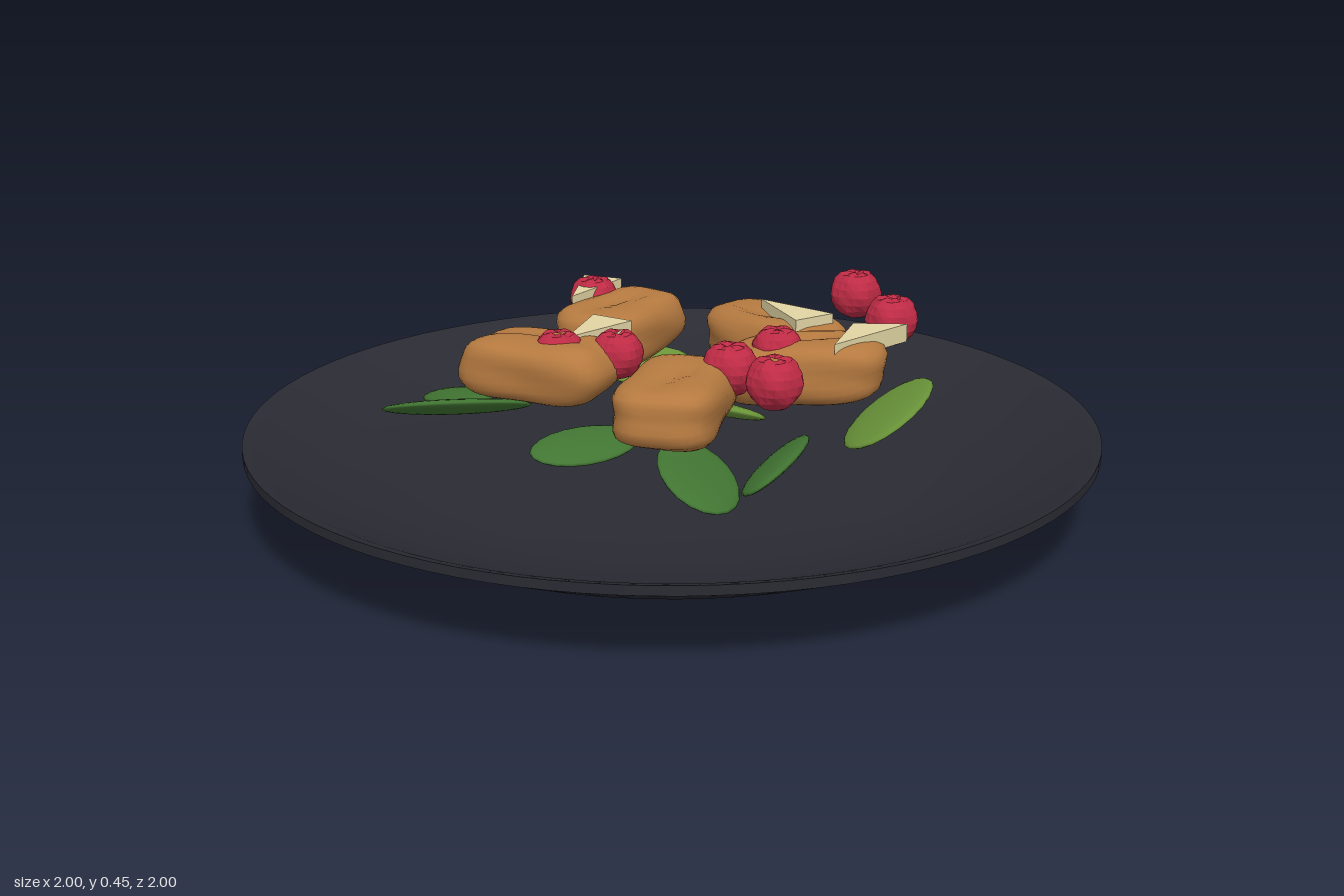
import * as THREE from 'three';
import { mergeVertices } from 'three/addons/utils/BufferGeometryUtils.js';

const mat = (name, color, extra = {}) => {
  const m = new THREE.MeshStandardMaterial({ color, ...extra });
  m.name = name;
  return m;
};

// Apply a rule to every vertex, then weld and smooth
function reshape(geo, rule) {
  geo.deleteAttribute('uv');
  geo.deleteAttribute('normal');
  const p = geo.attributes.position, v = new THREE.Vector3();
  for (let i = 0; i < p.count; i++) {
    rule(v.fromBufferAttribute(p, i));
    p.setXYZ(i, v.x, v.y, v.z);
  }
  const out = mergeVertices(geo, 1e-4);
  out.computeVertexNormals();
  return out;
}

// Rounded, lumpy block with a creased top
function nuggetGeometry(halfLength, halfWidth, seed) {
  return reshape(new THREE.BoxGeometry(2, 2, 2, 14, 8, 10), v => {
    const k = 3.5;
    v.divideScalar((Math.abs(v.x) ** k + Math.abs(v.y) ** k + Math.abs(v.z) ** k) ** (1 / k));
    const lump = 1 + 0.035 * Math.sin(4 * v.x + seed) * Math.cos(3 * v.z + seed * 2)
      + 0.03 * Math.sin(5 * v.y + 3 * v.x + seed);
    const crease = v.y > 0 ? 0.18 * Math.exp(-30 * (v.z - 0.25 * Math.sin(2 * v.x + seed)) ** 2 - 3 * v.x ** 2) : 0;
    v.set(v.x * halfLength * lump, (v.y - crease) * 0.074 * lump, v.z * halfWidth * lump);
  });
}

// Flattened oval leaf, long axis along z
function leafGeometry(halfLength, halfWidth) {
  return reshape(new THREE.SphereGeometry(1, 20, 12), v => {
    v.set(v.x * halfWidth, v.y * 0.016, v.z * halfLength);
  });
}

// Knobbly berry with a small star-shaped dimple on top
function berryGeometry() {
  return reshape(new THREE.SphereGeometry(1, 20, 10), v => {
    const a = Math.atan2(v.z, v.x), ring = Math.hypot(v.x, v.z), y = v.y;
    v.multiplyScalar(1 + 0.05 * ring * Math.cos(5 * a) * Math.cos(4 * y));
    if (y > 0.7) v.y -= 0.25 * Math.max(0, 1 - ring / 0.5) * (1 + 0.3 * Math.cos(5 * a));
  });
}

export function createModel() {
  const model = new THREE.Group();
  const slate = mat('slate', 0x2a2b33);
  const crust = mat('golden crust', 0xb67a40);
  const darkLeaf = mat('dark leaf', 0x427633);
  const lightLeaf = mat('light leaf', 0x6b963a);
  const red = mat('berry red', 0xbf2b45, { flatShading: true });
  const cream = mat('cheese cream', 0xe2d5a4);

  const add = (name, geo, material, x = 0, y = 0, z = 0) => {
    const mesh = new THREE.Mesh(geo, material);
    mesh.name = name;
    mesh.position.set(x, y, z);
    model.add(mesh);
    return mesh;
  };

  // Plate: stepped underside, thin rim and shallow dished top
  const lathe = pts => new THREE.LatheGeometry(pts.map(p => new THREE.Vector2(...p)), 96);
  add('plateUnderside', lathe([[0, 0], [0.55, 0], [0.6, 0.04], [0.78, 0.077], [1, 0.178]]), slate);
  add('plateRim', lathe([[1, 0.178], [1, 0.2]]), slate);
  add('plateDish', lathe([[1, 0.2], [0.97, 0.192], [0.78, 0.113], [0.6, 0.095], [0.3, 0.09], [0, 0.09]]), slate);

  // Leaves: tip x, y, z, other tip x, y, z, half width, roll, light?
  const leaves = [
    [-0.685, 0.128, -0.325, -0.47, 0.205, -0.07, 0.065, 0.1, 0],
    [-0.67, 0.235, 0.14, -0.33, 0.235, 0.04, 0.09, -0.42, 0],
    [0.32, 0.253, 0.25, 0.28, 0.25, 0.57, 0.078, 0.65, 0],
    [0.54, 0.285, -0.12, 0.49, 0.255, 0.25, 0.11, 0.52, 1],
    [0.41, 0.215, -0.46, 0.36, 0.215, -0.2, 0.066, 0.1, 0],
    [0.02, 0.235, -0.41, 0.05, 0.235, -0.02, 0.085, -0.2, 0],
    [-0.24, 0.205, -0.35, -0.03, 0.205, -0.48, 0.07, 0.45, 1],
    [0.13, 0.215, -0.46, 0.18, 0.215, -0.22, 0.055, -0.2, 1],
    [0.08, 0.21, 0.18, 0.16, 0.17, 0.51, 0.098, -0.35, 0],
    [-0.27, 0.185, 0.28, -0.08, 0.185, 0.06, 0.08, 0.2, 0],
    [-0.09, 0.25, -0.15, 0.01, 0.25, 0.14, 0.06, 0.5, 1],
    [0.01, 0.27, 0.05, 0.24, 0.27, 0.15, 0.06, -0.4, 1],
    [-0.06, 0.22, 0.02, -0.03, 0.22, 0.23, 0.075, -0.3, 0],
    [-0.12, 0.21, -0.12, 0.08, 0.21, 0.02, 0.06, 0.3, 0],
  ];
  for (const [x1, y1, z1, x2, y2, z2, w, roll, light] of leaves) {
    const dx = x2 - x1, dy = y2 - y1, dz = z2 - z1;
    const leaf = add('leaf', leafGeometry(Math.hypot(dx, dy, dz) / 2, w), light ? lightLeaf : darkLeaf,
      (x1 + x2) / 2, (y1 + y2) / 2, (z1 + z2) / 2);
    leaf.rotation.set(-Math.atan2(dy, Math.hypot(dx, dz)), Math.atan2(dx, dz), roll, 'YXZ');
  }

  // Nuggets: x, y, z, yaw, half length, half width, tilt
  const nuggets = [
    [-0.175, 0.35, -0.26, 1.2, 0.185, 0.112, 0],
    [0.215, 0.345, -0.235, -0.7, 0.19, 0.108, 0],
    [0.305, 0.345, 0.0, 0.03, 0.19, 0.105, 0.1],
    [-0.287, 0.355, 0.115, -0.3, 0.185, 0.108, 0.06],
    [0.06, 0.347, 0.3, 1.48, 0.187, 0.116, 0],
  ];
  nuggets.forEach(([x, y, z, yaw, l, w, tilt], i) => {
    add('nugget', nuggetGeometry(l, w, i * 1.7), crust, x, y, z).rotation.set(0, yaw, tilt);
  });

  // Cheese: triangular shavings, corners given as x, z
  const wedges = [
    [[-0.3, -0.42], [-0.2, -0.4], [-0.285, -0.21]],
    [[-0.2, -0.06], [-0.1, -0.02], [-0.22, 0.145]],
    [[0.175, -0.265], [0.36, -0.165], [0.28, -0.09]],
    [[0.415, -0.09], [0.54, -0.105], [0.39, 0.095]],
  ];
  for (const corners of wedges) {
    const shape = new THREE.Shape(corners.map(([x, z]) => new THREE.Vector2(x, -z)));
    const geo = new THREE.ExtrudeGeometry(shape, { depth: 0.043, bevelEnabled: false });
    geo.rotateX(-Math.PI / 2);
    add('cheeseShaving', geo, cream, 0, 0.392, 0);
  }

  // Berries: x, y, z
  const berry = berryGeometry();
  const berries = [
    [0.38, 0.39, -0.53], [0.49, 0.39, -0.3], [0.25, 0.392, 0.015], [0.165, 0.395, 0.185],
    [0.275, 0.39, 0.255], [-0.24, 0.393, 0.135], [-0.11, 0.39, 0.1], [-0.26, 0.396, -0.345],
  ];
  berries.forEach(([x, y, z], i) => {
    const mesh = add('berry', berry, red, x, y, z);
    mesh.scale.setScalar(i === 2 || i > 4 ? 0.06 : 0.064);
    mesh.rotation.y = i * 0.9;
  });

  return model;
}
